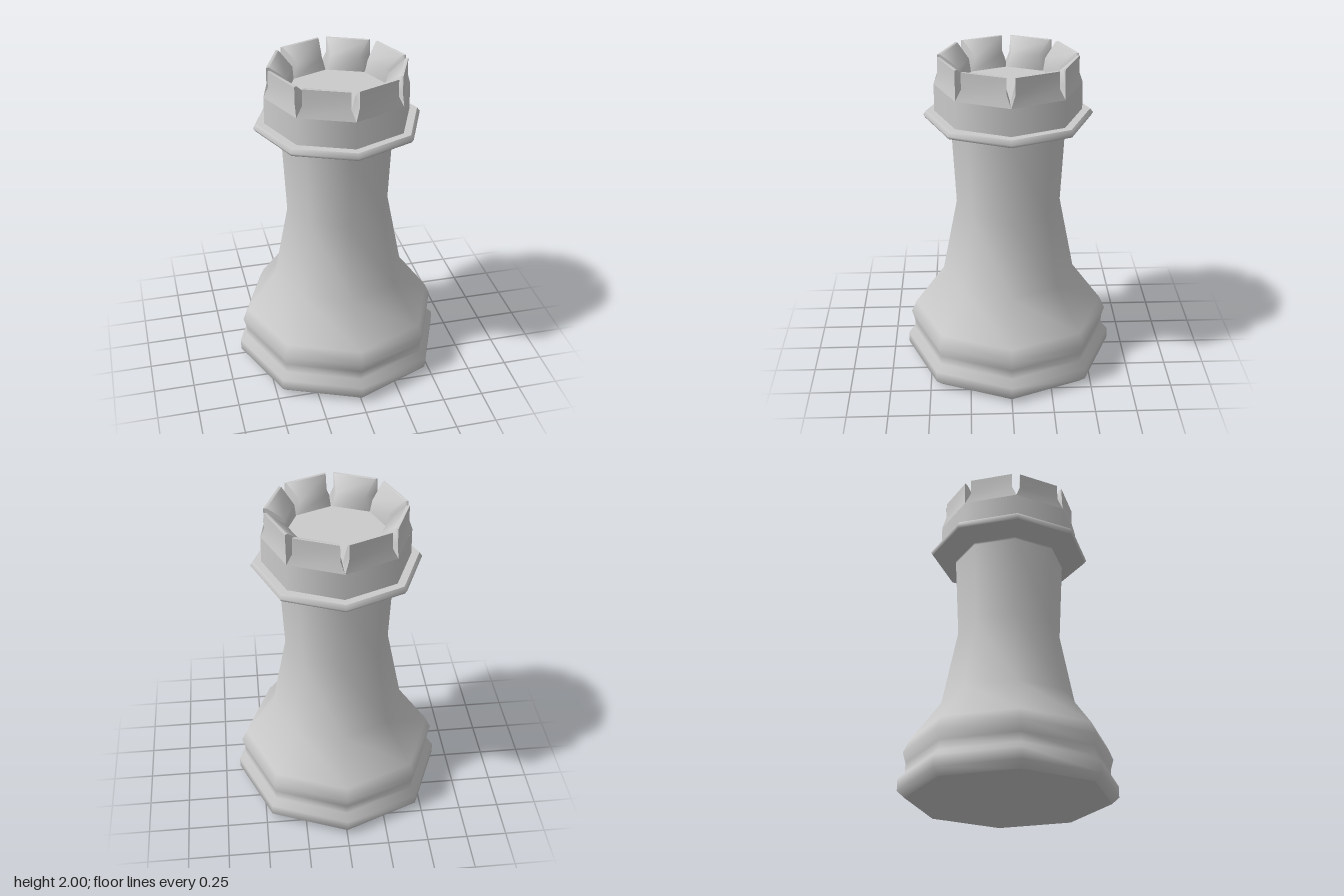
import * as THREE from 'three';
import { toCreasedNormals } from 'three/addons/utils/BufferGeometryUtils.js';

const SIDES = 8;
const material = new THREE.MeshStandardMaterial({ color: 0xcccccc });

// Eight-sided turned part from [radius, height] points, bottom to top
function turned(name, points) {
  const profile = points.map(([r, y]) => new THREE.Vector2(r, y));
  const mesh = new THREE.Mesh(new THREE.LatheGeometry(profile, SIDES), material);
  mesh.name = name;
  return mesh;
}

// One battlement block: a section swept across one side of the octagon.
// Each row is [distance from axis, height, gap to the corner]
function merlonGeometry() {
  const section = [
    [0.393, 1.9, 0.026],
    [0.393, 2.0, 0.027],
    [0.375, 2.0, 0.027],
    [0.285, 1.92, 0.03],
    [0.285, 1.82, 0],
    [0.4065, 1.83, 0],
  ];
  const n = section.length;
  const positions = [];
  const index = [];
  for (const [d, y, gap] of section) {
    const half = d * Math.tan(Math.PI / SIDES) - gap;
    positions.push(-half, y, d, half, y, d);
  }
  for (let i = 0; i < n; i++) {
    const a = 2 * i, b = 2 * ((i + 1) % n);
    index.push(a, a + 1, b + 1, a, b + 1, b);
  }
  // End faces
  for (let i = 1; i < n - 1; i++) {
    index.push(0, 2 * i, 2 * i + 2);
    index.push(1, 2 * i + 3, 2 * i + 1);
  }
  const geometry = new THREE.BufferGeometry();
  geometry.setAttribute('position', new THREE.Float32BufferAttribute(positions, 3));
  geometry.setIndex(index);
  return toCreasedNormals(geometry, THREE.MathUtils.degToRad(75));
}

export function createModel() {
  const model = new THREE.Group();
  model.name = 'rook';

  // Flat underside
  model.add(turned('underside', [[0, 0], [0.61, 0]]));

  // Base mouldings, flared skirt, neck and collar
  model.add(turned('body', [
    [0.61, 0], [0.655, 0.04], [0.655, 0.11], [0.612, 0.15], [0.612, 0.21],
    [0.63, 0.275], [0.597, 0.35], [0.412, 0.6], [0.32, 1.07], [0.345, 1.57],
    [0.345, 1.585], [0.495, 1.62], [0.508, 1.64], [0.49, 1.665],
  ]));
  model.add(turned('collarTop', [[0.49, 1.665], [0.43, 1.665]]));

  // Tower wall and its floor
  model.add(turned('towerWall', [[0.442, 1.66], [0.44, 1.83]]));
  model.add(turned('towerFloor', [[0.44, 1.83], [0, 1.83]]));

  // Ring of battlements, one per side
  const battlements = new THREE.Group();
  battlements.name = 'battlements';
  const geometry = merlonGeometry();
  for (let i = 0; i < SIDES; i++) {
    const merlon = new THREE.Mesh(geometry, material);
    merlon.name = 'merlon';
    merlon.rotation.y = ((i + 0.5) / SIDES) * Math.PI * 2;
    battlements.add(merlon);
  }
  model.add(battlements);

  return model;
}
